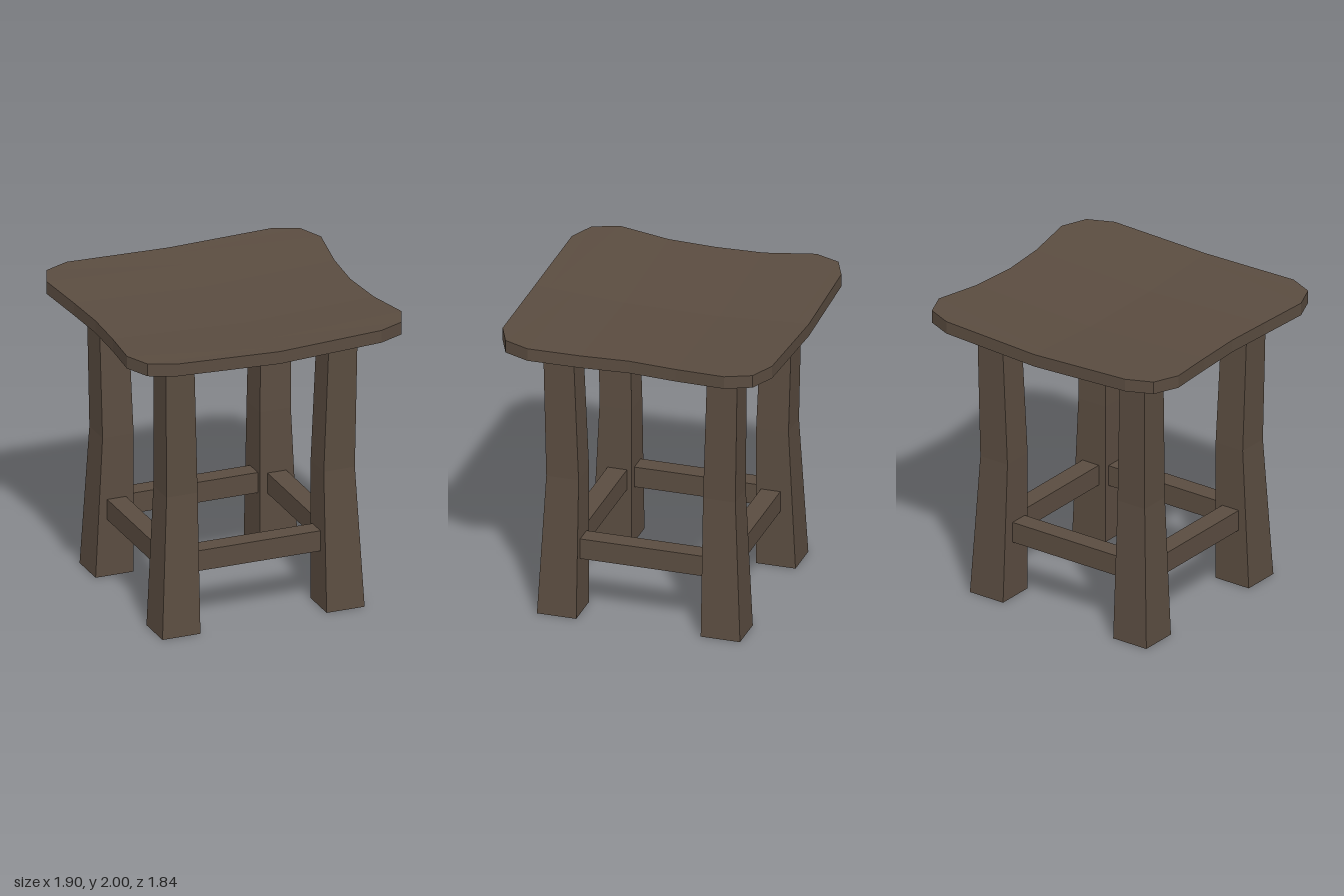
import * as THREE from 'three';

const wood = new THREE.MeshStandardMaterial({ color: 0x5a4c40, flatShading: true });
wood.name = 'dark wood';

const LEG_X = -0.013; // the base sits slightly off the seat's centre

function addMesh(group, name, geometry) {
  const mesh = new THREE.Mesh(geometry, wood);
  mesh.name = name;
  group.add(mesh);
  return mesh;
}

// Turns a list of corner vectors, three per face, into a flat-shaded geometry
function fromTriangles(points) {
  const geometry = new THREE.BufferGeometry().setFromPoints(points);
  geometry.computeVertexNormals();
  return geometry;
}

// Dished seat: rows across the outline, folded along x = 0 and z = +-0.33
function seatGeometry() {
  const thickness = 0.085;
  const half = [[0.92, 0, 0], [0.905, -0.71, 0.71], [0.83, -0.88, 0.88],
    [0.66, -0.95, 0.95], [0.32, -0.905, 0.9]]; // z, left x, right x
  const rows = [
    ...half.map(([z, l, r]) => [-z, l, r]),
    [0, -0.89, 0.875],
    ...half.slice().reverse(),
  ];
  const height = (x, z) =>
    Math.min(2, 1.94 + 0.04 * Math.abs(x) + 0.06 * Math.max(0, Math.abs(z) - 0.32));
  const top = rows.map(([z, l, r]) =>
    [l, 0, r].map((x) => new THREE.Vector3(x, height(x, z), z)));
  const below = (p) => new THREE.Vector3(p.x, p.y - thickness, p.z);

  const points = [];
  const tri = (a, b, c) => {
    if (!a.equals(b) && !b.equals(c) && !a.equals(c)) points.push(a, b, c);
  };
  // Upper and lower faces
  for (let i = 0; i < rows.length - 1; i++) {
    for (let j = 0; j < 2; j++) {
      const [a, b, c, d] = [top[i][j], top[i + 1][j], top[i + 1][j + 1], top[i][j + 1]];
      for (const [p, q, r] of [[a, b, c], [a, c, d]]) {
        tri(p, q, r);
        tri(below(p), below(r), below(q));
      }
    }
  }
  // Rim
  const rim = [...top.map((r) => r[0]), ...top.slice(1, -1).reverse().map((r) => r[2])];
  rim.forEach((p, i) => {
    const q = rim[(i + 1) % rim.length];
    tri(p, below(p), below(q));
    tri(p, below(q), q);
  });
  return fromTriangles(points);
}

// Square leg, narrowest at the bend, with the inner and outer faces set per height
function legGeometry(sx, sz) {
  const levels = [ // y, inner x, outer x, inner z, outer z
    [0, 0.437, 0.7, 0.418, 0.682],
    [0.96, 0.437, 0.652, 0.418, 0.635],
    [1.895, 0.467, 0.664, 0.45, 0.652],
  ];
  const geometry = new THREE.BoxGeometry(1, 1, 1, 1, 2, 1);
  const pos = geometry.attributes.position;
  for (let i = 0; i < pos.count; i++) {
    const [y, xi, xo, zi, zo] = levels[Math.round((pos.getY(i) + 0.5) * 2)];
    const x = pos.getX(i) * sx > 0 ? xo : xi;
    const z = pos.getZ(i) * sz > 0 ? zo : zi;
    pos.setXYZ(i, sx * x + LEG_X, y, sz * z);
  }
  geometry.computeVertexNormals();
  return geometry;
}

export function createModel() {
  const model = new THREE.Group();
  model.name = 'stool';
  addMesh(model, 'seat', seatGeometry());

  // Four splayed legs
  for (const sx of [1, -1]) {
    for (const sz of [1, -1]) {
      const name = `${sz > 0 ? 'front' : 'back'}${sx > 0 ? 'Left' : 'Right'}Leg`;
      addMesh(model, name, legGeometry(sx, sz));
    }
  }

  // Stretchers joining neighbouring legs
  for (const s of [1, -1]) {
    addMesh(model, s > 0 ? 'frontStretcher' : 'backStretcher',
      new THREE.BoxGeometry(0.89, 0.14, 0.13)).position.set(LEG_X, 0.46, s * 0.515);
    addMesh(model, s > 0 ? 'leftStretcher' : 'rightStretcher',
      new THREE.BoxGeometry(0.13, 0.14, 0.85)).position.set(LEG_X + s * 0.555, 0.46, 0);
  }
  return model;
}
